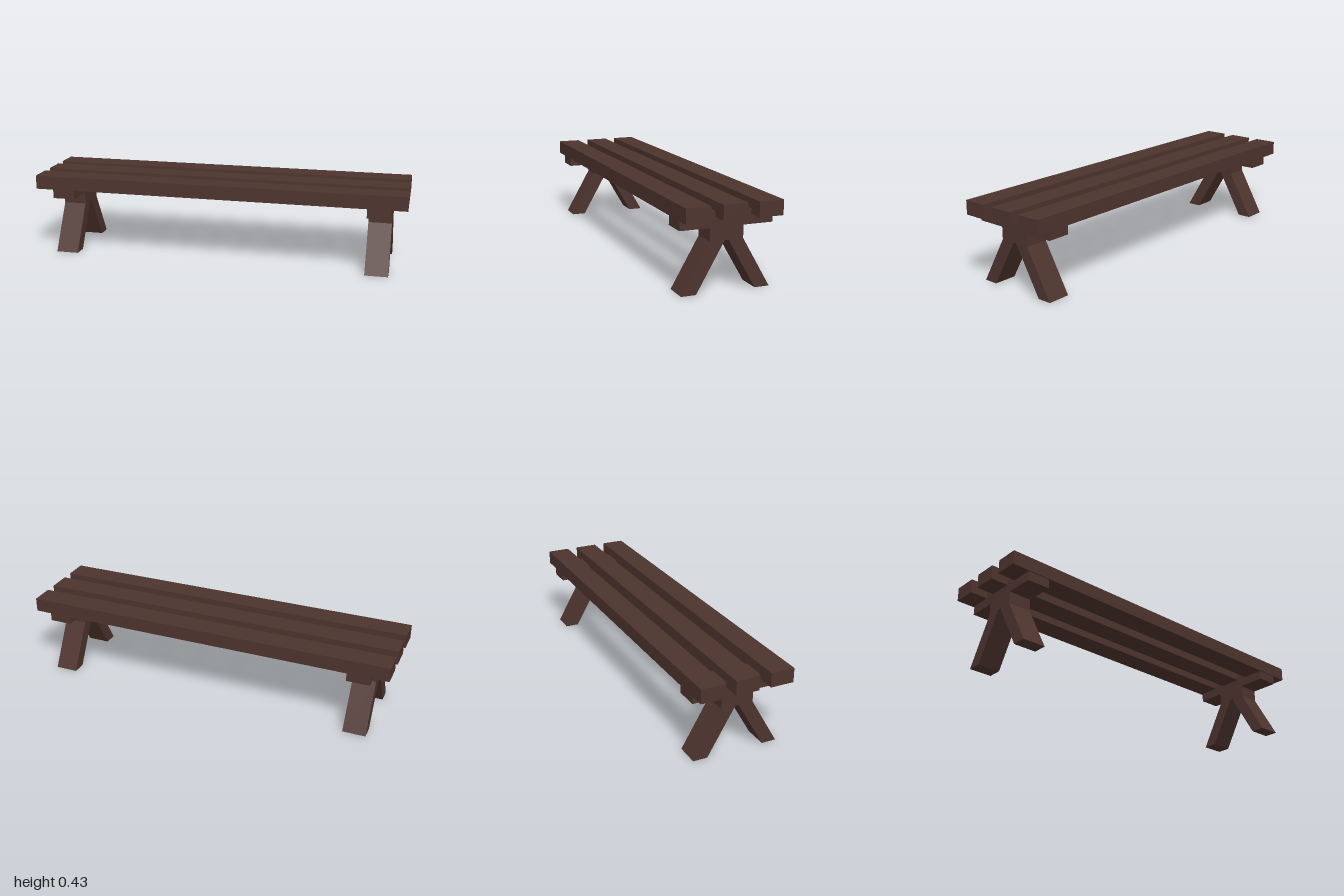
import * as THREE from 'three';

const wood = new THREE.MeshStandardMaterial({ color: 0x4e342e, flatShading: true });

// Box given by its extents on each axis
function beam(name, [x0, x1], [y0, y1], [z0, z1]) {
  const mesh = new THREE.Mesh(new THREE.BoxGeometry(x1 - x0, y1 - y0, z1 - z0), wood);
  mesh.position.set((x0 + x1) / 2, (y0 + y1) / 2, (z0 + z1) / 2);
  mesh.name = name;
  return mesh;
}

// Splayed pair of legs joined by a short post, extruded along x
function legPair(name, [x0, x1]) {
  const half = [[0.009, 0.247], [0.1515, 0], [0.2265, 0], [0.085, 0.247], [0.085, 0.311]];
  const mirrored = half.map(([z, y]) => [-z, y]).reverse();
  const outline = [...half, ...mirrored].map(([z, y]) => new THREE.Vector2(z, y));
  const geometry = new THREE.ExtrudeGeometry(new THREE.Shape(outline), {
    depth: x1 - x0,
    bevelEnabled: false,
  });
  geometry.rotateY(-Math.PI / 2);
  const mesh = new THREE.Mesh(geometry, wood);
  mesh.position.set(x1, 0, 0.003);
  mesh.name = name;
  return mesh;
}

export function createModel() {
  const bench = new THREE.Group();
  bench.name = 'bench';

  // Three seat planks
  const planks = { frontPlank: 0.1835, middlePlank: -0.0005, backPlank: -0.182 };
  for (const [name, z] of Object.entries(planks)) {
    bench.add(beam(name, [-1, 1], [0.36, 0.434], [z - 0.0615, z + 0.0615]));
  }

  // A trestle at each end: cross beam notched into the planks, on splayed legs
  const trestles = { right: [-0.905, -0.783], left: [0.796, 0.918] };
  for (const [side, span] of Object.entries(trestles)) {
    const trestle = new THREE.Group();
    trestle.name = side + 'Trestle';
    trestle.add(
      beam(side + 'CrossBeam', span, [0.311, 0.386], [-0.234, 0.24]),
      legPair(side + 'Legs', span),
    );
    bench.add(trestle);
  }
  return bench;
}
